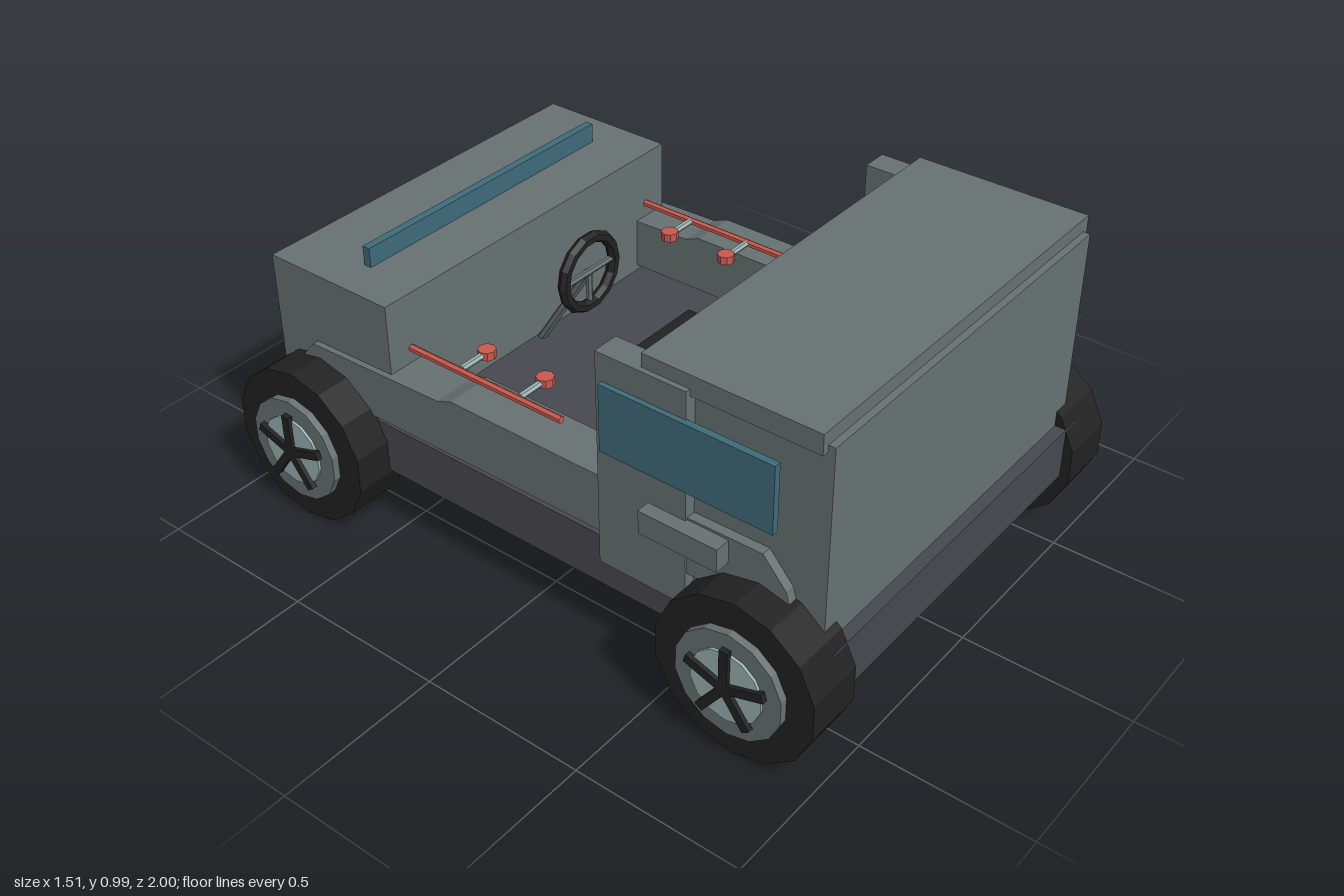
import * as THREE from 'three';

const mat = (name, color) => {
  const m = new THREE.MeshStandardMaterial({ color, flatShading: true });
  m.name = name;
  return m;
};

export function createModel() {
  const body = mat('bodyGrey', 0x687273);
  const floor = mat('chassisSlate', 0x484950);
  const black = mat('rubberBlack', 0x222222);
  const glass = mat('glassTeal', 0x3f6b7b);
  const red = mat('signalRed', 0xc9594f);
  const pale = mat('paleMetal', 0x9ab3b2);

  const car = new THREE.Group();
  car.name = 'openTruck';

  const add = (name, geo, material, parent = car) => {
    const mesh = new THREE.Mesh(geo, material);
    mesh.name = name;
    parent.add(mesh);
    return mesh;
  };
  // Box given by its limits on each axis
  const box = (name, material, x0, x1, y0, y1, z0, z1, parent) => {
    const g = new THREE.BoxGeometry(x1 - x0, y1 - y0, z1 - z0);
    g.translate((x0 + x1) / 2, (y0 + y1) / 2, (z0 + z1) / 2);
    return add(name, g, material, parent);
  };
  // The same box on one side, s = 1 or -1
  const sideBox = (name, material, s, a, b, ...rest) =>
    box(name, material, Math.min(s * a, s * b), Math.max(s * a, s * b), ...rest);
  // Side profile of [z, y] points, extruded between two x positions
  const profile = (name, material, points, s, a, b) => {
    const shape = new THREE.Shape(points.map(([z, y]) => new THREE.Vector2(z, y)));
    const g = new THREE.ExtrudeGeometry(shape, { depth: b - a, bevelEnabled: false });
    g.rotateY(-Math.PI / 2).translate(s > 0 ? b : -a, 0, 0);
    return add(name, g, material);
  };
  // Round bar between two points
  const bar = (name, material, p, q, r, sides = 6) => {
    const a = new THREE.Vector3(...p), b = new THREE.Vector3(...q);
    const m = add(name, new THREE.CylinderGeometry(r, r, a.distanceTo(b), sides), material);
    m.position.copy(a).add(b).multiplyScalar(0.5);
    m.quaternion.setFromUnitVectors(new THREE.Vector3(0, 1, 0), b.sub(a).normalize());
    return m;
  };

  // Chassis, engine box, cab and roof
  box('chassis', floor, -0.6, 0.6, 0.2, 0.36, -0.97, 0.97);
  box('hood', body, -0.59, 0.59, 0.36, 0.75, -0.93, -0.49);
  box('cab', body, -0.59, 0.59, 0.36, 0.95, 0.43, 0.935);
  box('roof', body, -0.61, 0.61, 0.93, 0.99, 0.4, 0.915);
  box('hoodStrip', glass, -0.47, 0.47, 0.75, 0.81, -0.69, -0.665);

  // Grille with slats
  box('grille', black, -0.285, 0.285, 0.39, 0.52, -0.965, -0.93);
  for (let i = -2; i <= 2; i++) {
    box('grilleSlat', body, i * 0.1 - 0.012, i * 0.1 + 0.012, 0.4, 0.51, -0.98, -0.96);
  }

  for (const s of [1, -1]) {
    // Cab pillars, windows, lamps
    sideBox('cabPillar', body, s, 0.545, 0.625, 0.3, 0.95, 0.27, 0.545);
    sideBox('window', glass, s, 0.62, 0.64, 0.67, 0.87, 0.29, 0.81);
    sideBox('lamp', red, s, 0.33, 0.5, 0.55, 0.63, -0.97, -0.93);

    // Side rail running into the fender beside the hood, and the cab fender
    profile('sideRail', body, [[0.43, 0.56], [-0.25, 0.56], [-0.3, 0.54], [-0.78, 0.525],
      [-0.86, 0.43], [-0.8, 0.375], [0.43, 0.385]], s, 0.465, 0.608);
    profile('cabFender', body, [[0.5, 0.575], [0.77, 0.58], [0.84, 0.5], [0.87, 0.4],
      [0.5, 0.4]], s, 0.56, 0.618);

    // Red rods with pegs and knobs
    bar('rod', red, [s * 0.508, 0.58, -0.5], [s * 0.508, 0.58, 0.05], 0.011);
    for (const z of [-0.31, -0.1]) {
      bar('rodPeg', pale, [s * 0.5, 0.582, z], [s * 0.41, 0.582, z], 0.01);
      const knob = add('rodKnob', new THREE.CylinderGeometry(0.026, 0.026, 0.025, 8), red);
      knob.position.set(s * 0.4, 0.582, z);
    }

    // Wheels
    for (const z of [0.761, -0.761]) {
      const wheel = new THREE.Group();
      wheel.name = 'wheel';
      wheel.position.set(0, 0.243, z);
      car.add(wheel);
      const disc = (name, material, r, a, b) => {
        const g = new THREE.CylinderGeometry(r, r, b - a, 14);
        g.rotateY(Math.PI / 2).rotateZ(Math.PI / 2).translate(s * (a + b) / 2, 0, 0);
        add(name, g, material, wheel);
      };
      disc('tyre', black, 0.243, 0.54, 0.715);
      disc('rim', body, 0.162, 0.7, 0.737);
      disc('hubDisc', pale, 0.108, 0.73, 0.745);
      for (let i = 0; i < 5; i++) {
        const g = new THREE.BoxGeometry(0.016, 0.122, 0.026);
        g.translate(s * 0.749, 0.061, 0).rotateX(i * Math.PI * 2 / 5);
        add('spoke', g, black, wheel);
      }
    }
  }

  // Six-sided handle on the left, square one on the right
  const handle = profile('leftHandle', body, [[0.63, 0.54], [0.6, 0.565], [0.48, 0.565],
    [0.45, 0.54], [0.48, 0.512], [0.6, 0.512]], 1, 0.61, 0.685);
  const hp = handle.geometry.attributes.position;
  for (let i = 0; i < hp.count; i++) {
    if (hp.getX(i) > 0.65) hp.setY(i, 0.54 + (hp.getY(i) - 0.54) * 0.5);
  }
  handle.geometry.computeVertexNormals();
  box('rightHandle', body, -0.665, -0.6, 0.5, 0.57, 0.43, 0.67);

  // Seat
  box('seatCushion', black, -0.21, 0.21, 0.36, 0.5, -0.09, 0.4);
  box('seatBack', black, -0.21, 0.21, 0.48, 0.72, 0.285, 0.4);
  box('seatBackPad', floor, -0.165, 0.165, 0.54, 0.69, 0.272, 0.29);

  // Steering wheel, its crossbars and column
  const ring = add('steeringWheel', new THREE.TorusGeometry(0.108, 0.018, 6, 14), black);
  ring.position.set(0, 0.655, -0.285);
  bar('steeringCrossbar', body, [-0.105, 0.655, -0.285], [0.105, 0.655, -0.285], 0.01);
  bar('steeringSpoke', body, [0, 0.655, -0.285], [0, 0.55, -0.285], 0.01);
  bar('steeringColumn', body, [0, 0.655, -0.285], [0, 0.35, -0.48], 0.013);

  return car;
}
